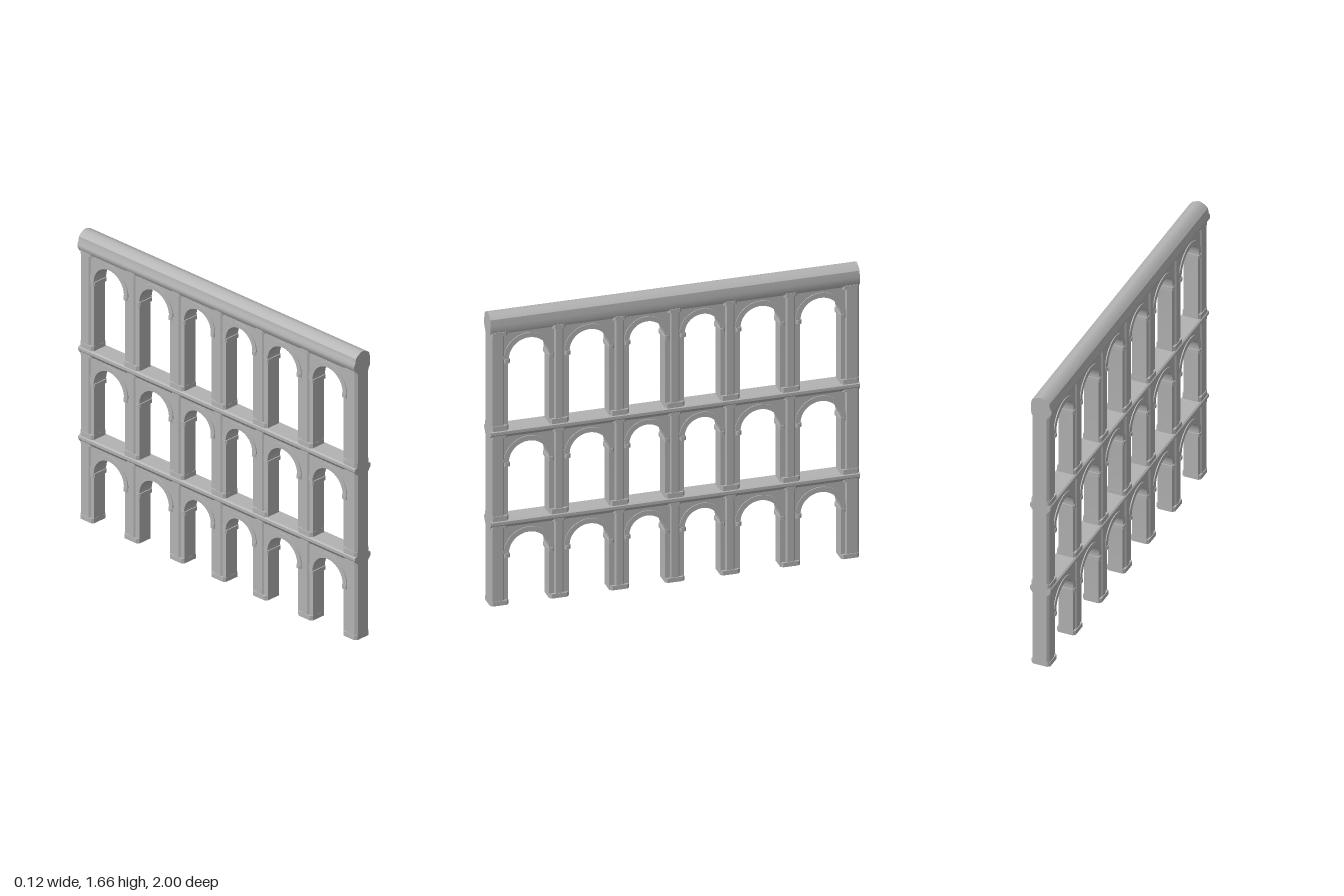
import * as THREE from 'three';
import { toCreasedNormals } from 'three/addons/utils/BufferGeometryUtils.js';

const stone = new THREE.MeshStandardMaterial({ color: 0xb2b2b2 });
stone.name = 'grey stone';

// openings across the length: [centre, half width]
const half = [[0.15, 0.098], [0.463, 0.109], [0.79, 0.111]];
const openings = [...half.map(([c, r]) => [-c, r]).reverse(), ...half];
const piers = [-0.95, -0.627, -0.3, 0, 0.3, 0.627, 0.95];
// storeys: floor, crown of the arches, top of the wall
const storeys = [[0, 0.4, 0.47], [0.47, 0.92, 0.985], [0.985, 1.51, 1.6]];

function add(parent, name, geometry) {
  const mesh = new THREE.Mesh(toCreasedNormals(geometry, 0.6), stone);
  mesh.name = name;
  parent.add(mesh);
  return mesh;
}

// extrude an outline drawn along the length, centred through the thickness
function across(shape, depth) {
  const g = new THREE.ExtrudeGeometry(shape, { depth, bevelEnabled: false, curveSegments: 20 });
  return g.translate(0, 0, -depth / 2).rotateY(-Math.PI / 2);
}

// extrude an (x, y) profile along the full length
function along(points, length = 2) {
  const shape = new THREE.Shape();
  shape.splineThru ? shape.setFromPoints(points.map(p => new THREE.Vector2(...p))) : null;
  return new THREE.ExtrudeGeometry(shape, { depth: length, bevelEnabled: false }).translate(0, 0, -length / 2);
}

// upright prism with chamfered corners, showing on both faces of a pier
function prism(width, thick, y0, y1, c = 0.012) {
  const w = width / 2, t = thick / 2;
  const shape = new THREE.Shape([
    [-t, -w + c], [-t + c, -w], [t - c, -w], [t, -w + c],
    [t, w - c], [t - c, w], [-t + c, w], [-t, w - c],
  ].map(p => new THREE.Vector2(...p)));
  const g = new THREE.ExtrudeGeometry(shape, { depth: y1 - y0, bevelEnabled: false });
  return g.rotateX(-Math.PI / 2).translate(0, y0, 0);
}

function buildStorey([floor, crown, top], index) {
  const group = new THREE.Group();
  group.name = 'storey' + (index + 1);

  // wall with arched notches
  const wall = new THREE.Shape();
  wall.moveTo(-0.995, floor);
  for (const [c, r] of openings) {
    wall.lineTo(c - r, floor);
    wall.lineTo(c - r, crown - r);
    wall.absarc(c, crown - r, r, Math.PI, 0, true);
    wall.lineTo(c + r, floor);
  }
  wall.lineTo(0.995, floor);
  wall.lineTo(0.995, top);
  wall.lineTo(-0.995, top);
  add(group, 'arcadeWall', across(wall, 0.082));

  // raised arch rings and the moulded blocks they spring from
  for (const [c, r] of openings) {
    const ring = new THREE.Shape();
    ring.absarc(c, crown - r, r + 0.026, 0, Math.PI, false);
    ring.absarc(c, crown - r, r - 0.002, Math.PI, 0, true);
    add(group, 'archRing', across(ring, 0.092));
    for (const s of [-1, 1]) {
      const impost = add(group, 'impost', prism(0.032, 0.1, crown - r - 0.022, crown - r, 0.007));
      impost.position.z = c + s * (r + 0.008);
    }
  }

  // pilasters with base and capital
  const under = top - (index === 2 ? 0.04 : 0.01);
  for (const z of piers) {
    const end = Math.abs(z) > 0.9;
    const pz = end ? Math.sign(z) * 0.96 : z;
    const w = end ? 0.08 : 0.06;
    add(group, 'pilaster', prism(w, 0.098, floor, under)).position.z = pz;
    add(group, 'capital', prism(w + 0.014, 0.106, under - 0.022, under)).position.z = end ? pz - Math.sign(z) * 0.007 : pz;
    const base = index === 0 ? 0.025 : 0.04;
    add(group, 'pilasterBase', prism(end ? 0.1 : 0.106, 0.106, floor, floor + base)).position.z = end ? Math.sign(z) * 0.95 : z;
  }
  return group;
}

export function createModel() {
  const model = new THREE.Group();
  model.name = 'arcadeFacade';
  const body = new THREE.Group();
  body.name = 'arcades';
  body.position.x = 0.002;
  storeys.forEach((s, i) => body.add(buildStorey(s, i)));
  model.add(body);

  // ledges between storeys
  for (const y of [0.47, 0.985]) {
    const side = [[0.043, -0.028], [0.052, -0.016], [0.058, -0.008], [0.058, 0.008], [0.05, 0.014]];
    const profile = [...side, ...side.map(([x, h]) => [-x, h]).reverse()];
    add(body, 'ledge', along(profile.map(([x, h]) => [x, y + h])));
  }

  // rounded cornice along the top
  add(model, 'cornice', along([
    [-0.045, 1.55], [0.047, 1.55], [0.054, 1.565], [0.055, 1.6], [0.051, 1.635],
    [0.035, 1.65], [0.014, 1.659], [0, 1.662], [-0.014, 1.659], [-0.035, 1.648],
    [-0.05, 1.633], [-0.053, 1.61], [-0.062, 1.592], [-0.062, 1.575],
  ]));
  return model;
}
